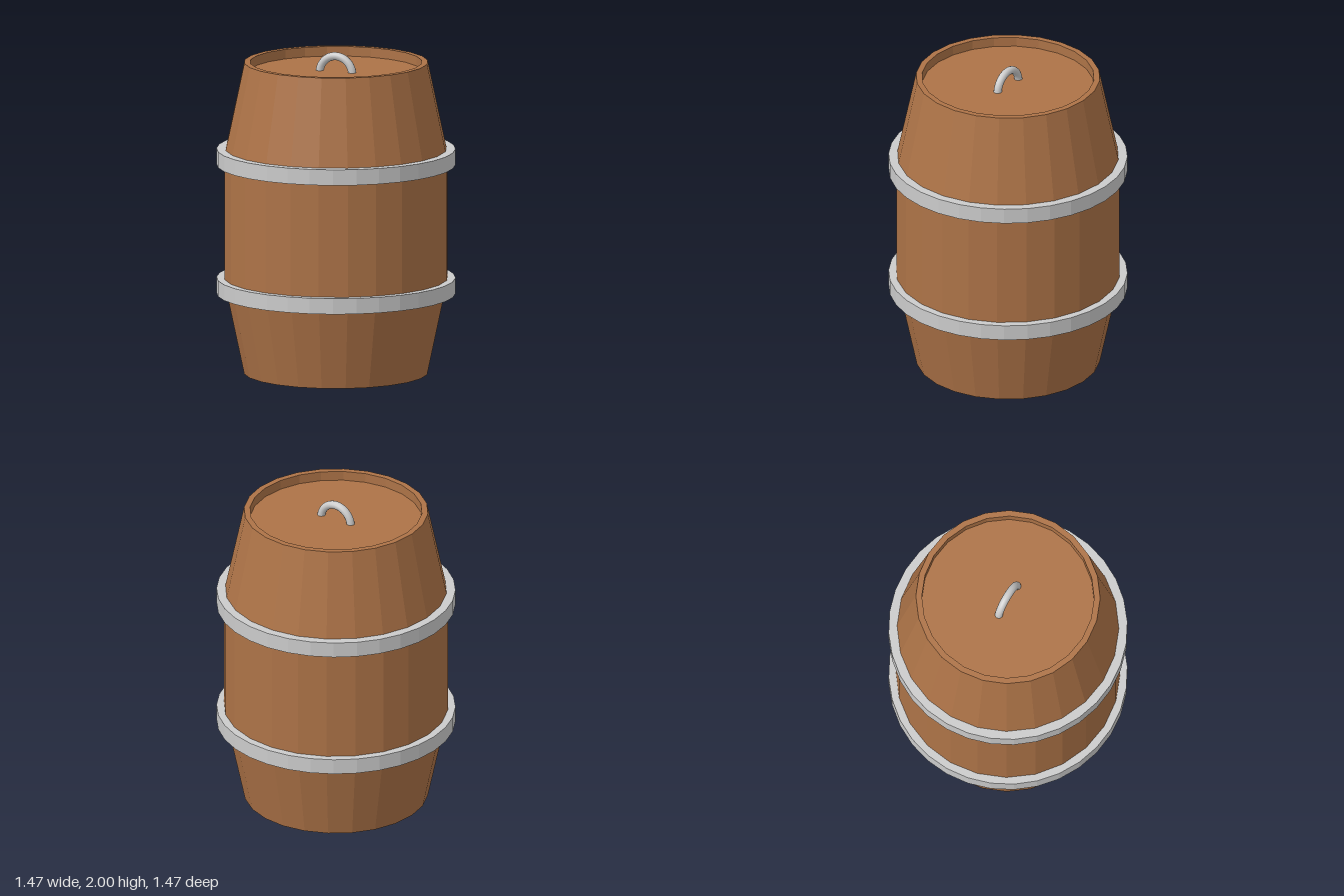
import * as THREE from 'three';

const wood = new THREE.MeshStandardMaterial({ color: 0xad7347, flatShading: true });
const metal = new THREE.MeshStandardMaterial({ color: 0xcccccc, flatShading: true });
const smoothMetal = new THREE.MeshStandardMaterial({ color: 0xcccccc });

// Revolves [radius, height] points, listed upwards along the outside
function lathe(name, points, sides, material) {
  const profile = points.map(([r, y]) => new THREE.Vector2(r, y));
  const mesh = new THREE.Mesh(new THREE.LatheGeometry(profile, sides), material);
  mesh.name = name;
  return mesh;
}

export function createModel() {
  const barrel = new THREE.Group();
  barrel.name = 'barrel';

  // Staves with the rims and the recessed ends
  barrel.add(lathe('body', [
    [0, 0.06], [0.43, 0.06], [0.43, 0], [0.567, 0],
    [0.69, 0.58], [0.69, 1.36],
    [0.567, 1.94], [0.53, 1.94], [0.53, 1.88], [0, 1.88],
  ], 24, wood));

  // Two metal hoops
  for (const [name, y] of [['lowerHoop', 0.495], ['upperHoop', 1.3]]) {
    barrel.add(lathe(name, [
      [0.66, y], [0.735, y], [0.735, y + 0.098], [0.66, y + 0.098], [0.66, y],
    ], 32, metal));
  }

  // Half-ring handle rising out of the lid
  const handle = new THREE.Mesh(new THREE.TorusGeometry(0.11, 0.025, 12, 24, Math.PI), smoothMetal);
  handle.name = 'lidHandle';
  handle.position.y = 1.865;
  barrel.add(handle);

  return barrel;
}
